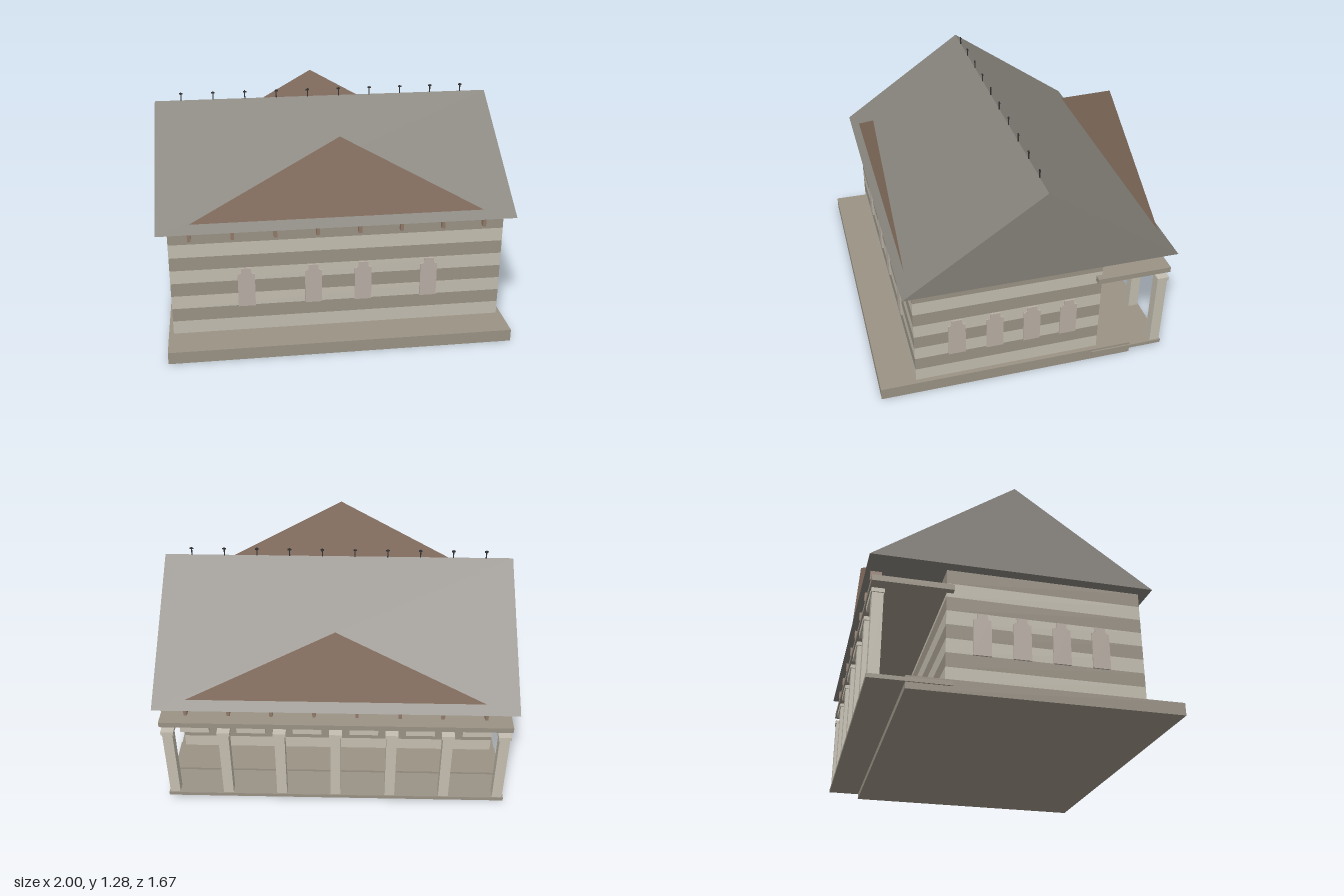
import * as THREE from 'three';

const mat = (color, side = THREE.FrontSide) =>
  new THREE.MeshStandardMaterial({ color, side, flatShading: true });

export function createModel() {
  const model = new THREE.Group();
  const light = mat(0xc4beb0), dark = mat(0x9a9285), roofGrey = mat(0x85817a);
  const brown = mat(0x927a69), brownSheet = mat(0x927a69, THREE.DoubleSide);
  const pane = mat(0xb9afa5), metal = mat(0x333333);

  // Box given by its [min, max] extents on each axis
  function box(name, [x0, x1], [y0, y1], [z0, z1], material, parent = model) {
    const mesh = new THREE.Mesh(new THREE.BoxGeometry(x1 - x0, y1 - y0, z1 - z0), material);
    mesh.position.set((x0 + x1) / 2, (y0 + y1) / 2, (z0 + z1) / 2);
    mesh.name = name;
    parent.add(mesh);
    return mesh;
  }
  const group = (name) => {
    const g = new THREE.Group();
    g.name = name;
    model.add(g);
    return g;
  };
  const polygon = (points) => new THREE.Shape(points.map(([x, y]) => new THREE.Vector2(x, y)));
  const around = (c, half) => [c - half, c + half];

  // Base plinth
  box('base', [-0.967, 0.967], [0, 0.07], [-0.625, 0.838], dark);

  // Walls in alternating courses
  const walls = group('stripedWalls');
  const course = (0.7 - 0.07) / 8;
  for (let i = 0; i < 8; i++) {
    const y = 0.07 + i * course;
    box('wallCourse', [-0.94, 0.94], [y, y + course], [-0.425, 0.637], i % 2 ? dark : light, walls);
  }

  // Windows with stepped heads
  const windows = group('windows');
  const windowGeo = new THREE.ExtrudeGeometry(polygon([
    [-0.048, 0.225], [0.048, 0.225], [0.048, 0.425], [0.036, 0.425], [0.036, 0.432],
    [0.028, 0.432], [0.028, 0.46], [-0.028, 0.46], [-0.028, 0.432],
    [-0.036, 0.432], [-0.036, 0.425], [-0.048, 0.425],
  ]), { depth: 0.02, bevelEnabled: false });
  function addWindow(x, z, turn) {
    const w = new THREE.Mesh(windowGeo, pane);
    w.name = 'window';
    w.position.set(x, 0, z);
    w.rotation.y = turn;
    windows.add(w);
  }
  for (const x of [-0.52, -0.143, 0.14, 0.518]) addWindow(x, 0.626, 0);
  for (const z of [0.4, 0.186, -0.026, -0.238]) {
    for (const s of [-1, 1]) addWindow(s * 0.929, z, s * Math.PI / 2);
  }

  // Gabled roof, solid prism along x
  const roofGeo = new THREE.ExtrudeGeometry(
    polygon([[-0.765, 0.703], [0.765, 0.703], [0, 1.232]]), { depth: 2, bevelEnabled: false });
  roofGeo.translate(0, 0, -1).rotateY(Math.PI / 2).translate(0, 0, -0.07);
  const roof = new THREE.Mesh(roofGeo, roofGrey);
  roof.name = 'roof';
  model.add(roof);

  // Thin upright pediments at front and back
  const pedimentGeo = new THREE.ShapeGeometry(polygon([[-0.818, 0.745], [0.818, 0.745], [0, 1.21]]));
  for (const [name, z] of [['frontPediment', 0.65], ['backPediment', -0.79]]) {
    const p = new THREE.Mesh(pedimentGeo, brownSheet);
    p.name = name;
    p.position.z = z;
    model.add(p);
  }

  // Brackets beneath both eaves
  const brackets = group('eaveBrackets');
  for (let i = 0; i < 8; i++) {
    const x = around(-0.823 + i * 0.235, 0.009);
    box('frontBracket', x, [0.65, 0.704], [0.63, 0.668], brown, brackets);
    box('backBracket', x, [0.65, 0.704], [-0.81, -0.75], brown, brackets);
  }

  // Rear porch: floor, columns with capitals, spacer blocks and entablature
  const porch = group('rearPorch');
  box('porchFloor', [-0.975, 0.975], [0.035, 0.057], [-0.815, -0.39], dark, porch);
  box('porchBeam', [-0.978, 0.978], [0.565, 0.597], [-0.815, -0.39], dark, porch);
  for (let i = 0; i < 7; i++) {
    const x = -0.939 + i * 0.313;
    box('columnShaft', around(x, 0.029), [0.057, 0.503], [-0.808, -0.75], light, porch);
    box('columnCapital', around(x, 0.036), [0.503, 0.525], [-0.813, -0.746], light, porch);
    if (i < 6) box('spacerBlock', around(x + 0.1565, 0.08), [0.525, 0.565], [-0.808, -0.75], light, porch);
  }

  // Finials along the ridge
  const finials = group('ridgeFinials');
  for (let i = 0; i < 10; i++) {
    const x = -0.846 + i * 0.188;
    box('finialPost', around(x, 0.003), [1.22, 1.28], around(-0.07, 0.003), metal, finials);
    box('finialBar', around(x, 0.01), [1.268, 1.276], around(-0.07, 0.003), metal, finials);
  }
  return model;
}
